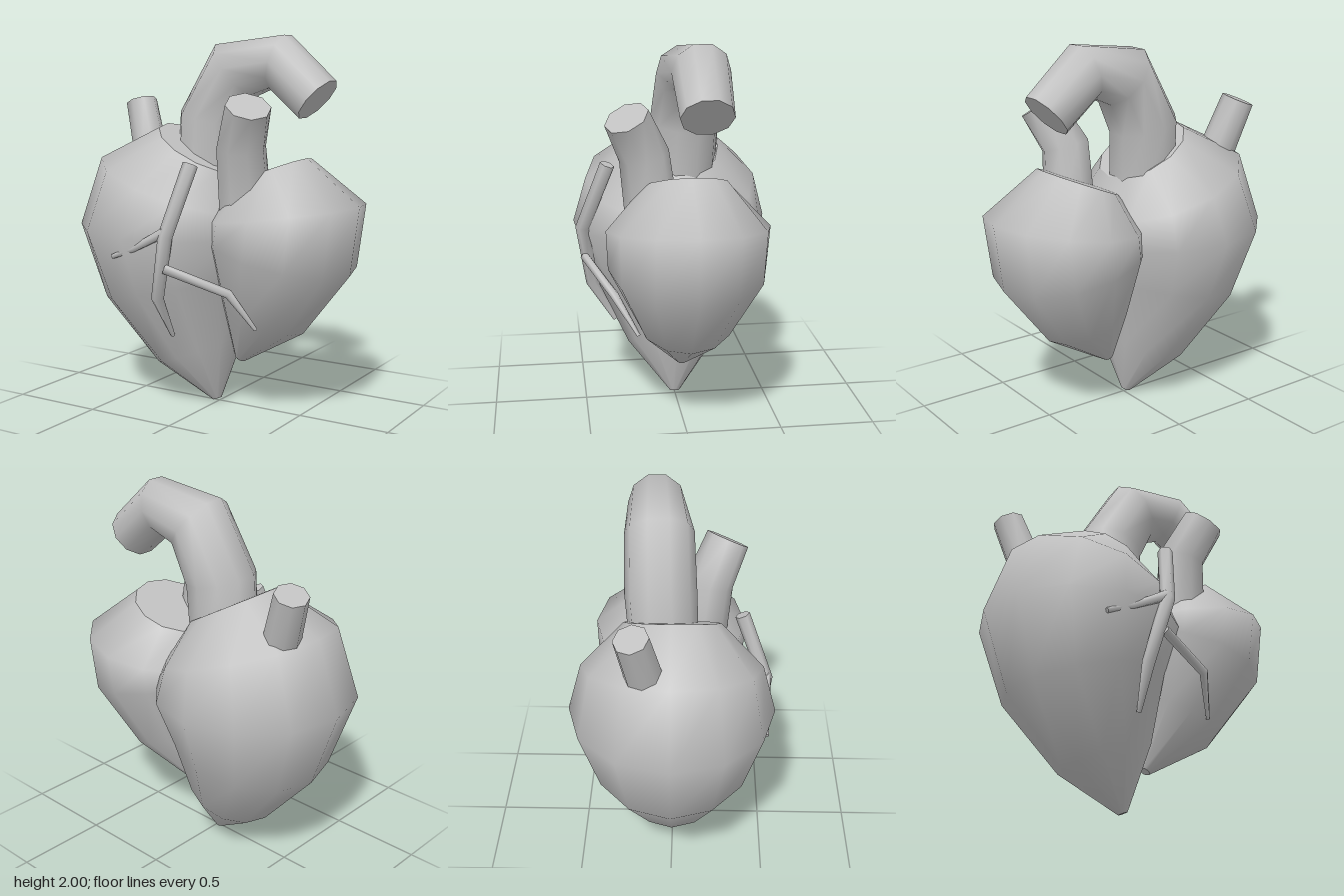
import * as THREE from 'three';

// Capped tube through stations [x, y, z, radius]; rings stand square to the path.
function taperedTube(stations, sides) {
  const centres = stations.map(([x, y, z]) => new THREE.Vector3(x, y, z));
  const last = stations.length - 1;
  const positions = [];
  const index = [];
  const rings = stations.map((s, i) => {
    const t = centres[Math.min(i + 1, last)].clone().sub(centres[Math.max(i - 1, 0)]).normalize();
    const u = new THREE.Vector3(0, 0, 1).addScaledVector(t, -t.z).normalize();
    const v = t.clone().cross(u);
    return Array.from({ length: sides }, (_, j) => {
      const a = (j / sides) * Math.PI * 2;
      return centres[i].clone().addScaledVector(u, Math.cos(a) * s[3]).addScaledVector(v, Math.sin(a) * s[3]);
    });
  });
  rings.forEach((ring) => ring.forEach((p) => positions.push(p.x, p.y, p.z)));
  for (let i = 0; i < last; i++) {
    for (let j = 0; j < sides; j++) {
      const k = (j + 1) % sides;
      const a = i * sides + j, b = i * sides + k;
      index.push(a, b, b + sides, a, b + sides, a + sides);
    }
  }
  // Flat end caps with their own vertices, so the rim stays sharp
  for (const i of [0, last]) {
    const base = positions.length / 3;
    [centres[i], ...rings[i]].forEach((p) => positions.push(p.x, p.y, p.z));
    for (let j = 0; j < sides; j++) {
      const p = base + 1 + j, q = base + 1 + ((j + 1) % sides);
      if (i === 0) index.push(base, q, p);
      else index.push(base, p, q);
    }
  }
  const geometry = new THREE.BufferGeometry();
  geometry.setAttribute('position', new THREE.Float32BufferAttribute(positions, 3));
  geometry.setIndex(index);
  geometry.computeVertexNormals();
  return geometry;
}

export function createModel() {
  const group = new THREE.Group();
  group.name = 'heart';
  const grey = new THREE.MeshStandardMaterial({ color: 0xc0c0c0 });
  grey.name = 'grey';

  const add = (name, sides, stations) => {
    const mesh = new THREE.Mesh(taperedTube(stations, sides), grey);
    mesh.name = name;
    group.add(mesh);
  };

  // The two chambers, swelling from a narrow tip and closing to a flat top
  add('rightChamber', 12, [
    [-0.015, 0.01, 0, 0.025],
    [-0.12, 0.28, 0, 0.25],
    [-0.245, 0.64, 0, 0.43],
    [-0.27, 0.96, 0, 0.54],
    [-0.23, 1.21, 0, 0.47],
    [-0.12, 1.4, 0, 0.25],
  ]);
  add('leftChamber', 12, [
    [0.12, 0.255, -0.02, 0.03],
    [0.27, 0.535, -0.02, 0.25],
    [0.365, 0.87, -0.02, 0.41],
    [0.395, 1.08, -0.02, 0.42],
    [0.31, 1.285, -0.02, 0.22],
  ]);

  // Great vessels
  add('archedArtery', 10, [
    [-0.09, 1.15, -0.04, 0.18],
    [-0.08, 1.55, -0.06, 0.185],
    [0.065, 1.815, -0.07, 0.178],
    [0.315, 1.86, -0.09, 0.15],
    [0.535, 1.665, -0.09, 0.135],
  ]);
  add('frontArtery', 8, [
    [0.25, 1.1, 0.15, 0.14],
    [0.245, 1.43, 0.19, 0.13],
    [0.34, 1.64, 0.285, 0.117],
  ]);
  add('upperVein', 8, [
    [-0.51, 1.26, -0.11, 0.1],
    [-0.64, 1.635, -0.18, 0.088],
  ]);

  // Thin surface vessels
  add('surfaceVessel', 6, [
    [0.05, 1.345, 0.365, 0.04],
    [-0.015, 0.99, 0.5, 0.038],
    [-0.1, 0.65, 0.45, 0.033],
    [-0.09, 0.43, 0.325, 0.012],
  ]);
  add('leftBranch', 6, [
    [-0.03, 0.82, 0.49, 0.025],
    [0.27, 0.7, 0.355, 0.024],
    [0.36, 0.5, 0.235, 0.01],
  ]);
  add('rightBranch', 6, [
    [-0.02, 1.01, 0.5, 0.028],
    [-0.21, 0.91, 0.495, 0.02],
    [-0.35, 0.855, 0.495, 0.014],
  ]);

  return group;
}
